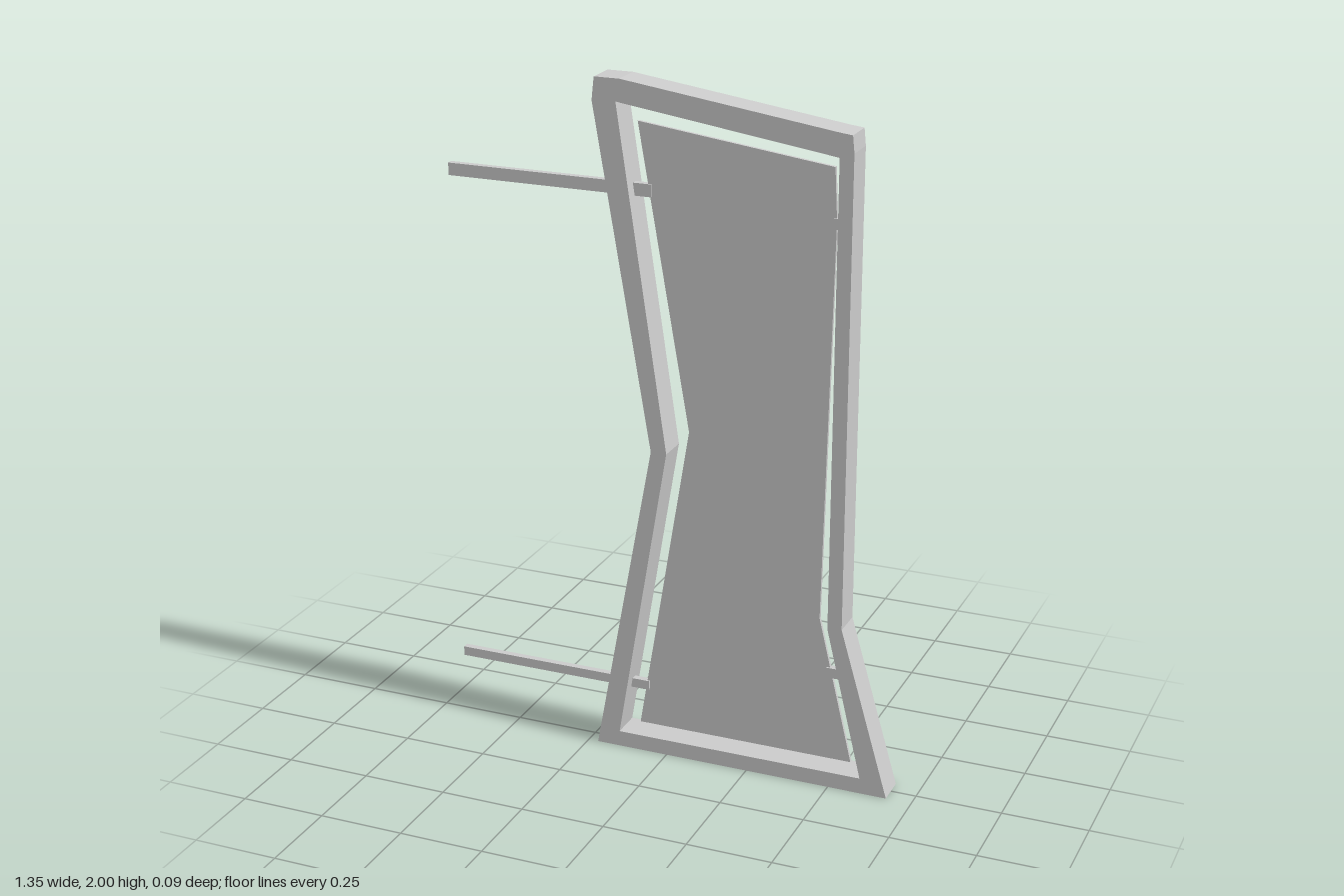
import * as THREE from 'three';

const material = new THREE.MeshStandardMaterial({ color: 0xcccccc, flatShading: true });

// Flat plate cut from an outline, centred on z = 0
function plate(name, outline, depth, hole) {
  const toPoints = (list) => list.map(([x, y]) => new THREE.Vector2(x, y));
  const shape = new THREE.Shape(toPoints(outline));
  if (hole) shape.holes.push(new THREE.Path(toPoints(hole)));
  const geometry = new THREE.ExtrudeGeometry(shape, { depth, bevelEnabled: false });
  geometry.translate(0, 0, -depth / 2);
  const mesh = new THREE.Mesh(geometry, material);
  mesh.name = name;
  return mesh;
}

// Horizontal bar from x0 to x1
function bar(name, x0, x1, y, height) {
  const mesh = new THREE.Mesh(new THREE.BoxGeometry(x1 - x0, height, 0.02), material);
  mesh.position.set((x0 + x1) / 2, y, 0);
  mesh.name = name;
  return mesh;
}

export function createModel() {
  const group = new THREE.Group();
  group.name = 'framedPanel';

  // Deep outer frame with a pinched waist and flared foot
  group.add(plate('frame', [
    [-0.22, 0], [0.675, 0], [0.53, 0.5], [0.53, 1.86], [0.525, 1.908], [0.49, 1.912],
    [-0.135, 2], [-0.21, 2], [-0.217, 1.935], [-0.047, 0.945],
  ], 0.093, [
    [-0.15, 0.047], [0.595, 0.047], [0.488, 0.495], [0.49, 1.845], [-0.147, 1.937], [0, 0.945],
  ]));

  // Thin panel floating inside the frame
  group.add(plate('panel', [
    [-0.1, 0.07], [0.553, 0.07], [0.45, 0.505], [0.473, 1.66], [0.465, 1.808],
    [-0.1, 1.88], [0.052, 1.005],
  ], 0.01));

  // Long mounting bars on the right side
  group.add(bar('upperMountingBar', -0.678, -0.06, 1.69, 0.036));
  group.add(bar('lowerMountingBar', -0.678, -0.07, 0.195, 0.028));

  // Short pins holding the panel's left edge
  group.add(bar('upperPin', 0.465, 0.505, 1.655, 0.03));
  group.add(bar('lowerPin', 0.475, 0.545, 0.342, 0.03));

  return group;
}
